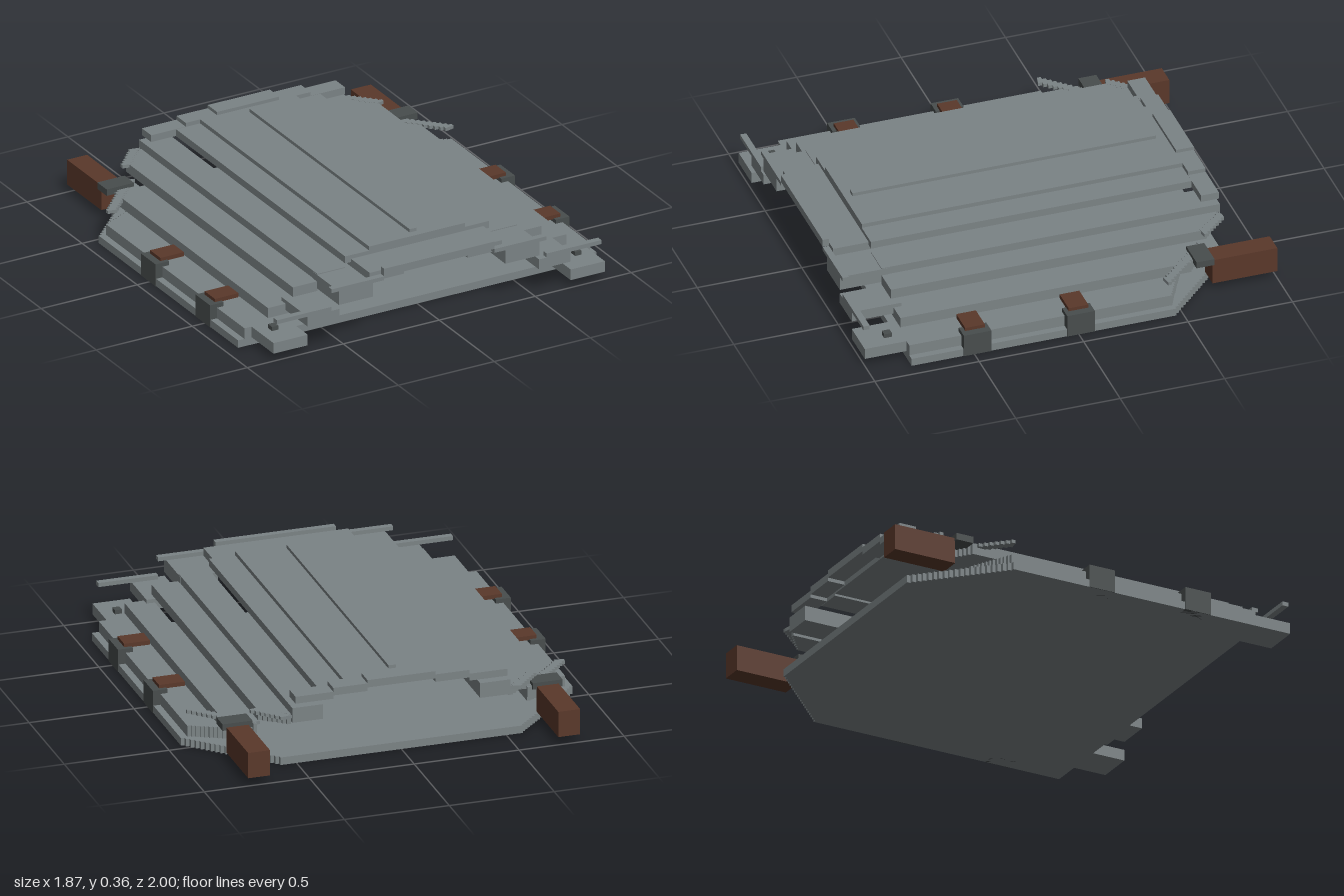
import * as THREE from 'three';

const steel = new THREE.MeshStandardMaterial({ color: 0x7b8385 }); steel.name = 'grey steel';
const iron = new THREE.MeshStandardMaterial({ color: 0x484d4d }); iron.name = 'dark iron';
const leather = new THREE.MeshStandardMaterial({ color: 0x5a382a }); leather.name = 'brown leather';

const STEP = 0.0176;

export function createModel() {
  const model = new THREE.Group();

  const add = (name, geometry, material) => {
    const mesh = new THREE.Mesh(geometry, material);
    mesh.name = name;
    model.add(mesh);
  };
  // box given by its limits
  const box = (name, mat, x0, x1, y0, y1, z0, z1) => {
    const g = new THREE.BoxGeometry(x1 - x0, y1 - y0, z1 - z0);
    g.translate((x0 + x1) / 2, (y0 + y1) / 2, (z0 + z1) / 2);
    add(name, g, mat);
  };
  const pair = (name, mat, x0, x1, ...rest) => {
    box(name + 'Left', mat, x0, x1, ...rest);
    box(name + 'Right', mat, -x1, -x0, ...rest);
  };
  // flat plate from [x, z] points
  const plate = (name, points, y0, y1) => {
    const shape = new THREE.Shape(points.map(([x, z]) => new THREE.Vector2(x, -z)));
    const g = new THREE.ExtrudeGeometry(shape, { depth: y1 - y0, bevelEnabled: false });
    g.rotateX(-Math.PI / 2);
    g.translate(0, y0, 0);
    add(name, g, steel);
  };
  const platePair = (name, points, y0, y1) => {
    plate(name + 'Left', points, y0, y1);
    plate(name + 'Right', points.map(([x, z]) => [-x, z]), y0, y1);
  };
  // staircase from one point to another, going along z first
  const stairs = (x0, z0, x1, z1) => {
    const n = Math.max(1, Math.round(Math.abs(x1 - x0) / STEP));
    const pts = [[x0, z0]];
    for (let i = 1; i <= n; i++) {
      const z = z0 + (z1 - z0) * i / n;
      pts.push([x0 + (x1 - x0) * (i - 1) / n, z], [x0 + (x1 - x0) * i / n, z]);
    }
    return pts;
  };

  // back plate with stepped shoulder corners
  const side = [[0.933, 0.8], ...stairs(0.933, -0.45, 0.56, -0.82)];
  plate('backPlate', [...side, ...side.map(([x, z]) => [-x, z]).reverse()], 0, 0.037);

  // long slats, rising in steps to the middle
  const slat = (name, x0, x1, y0, y1, zOuter, zInner) =>
    platePair(name, [[x0, 0.8], [x1, 0.8], ...stairs(x1, zOuter, x0, zInner)], y0, y1);
  slat('outerSlat', 0.685, 0.9, 0.037, 0.09, -0.45, -0.56);
  slat('lowerSlat', 0.645, 0.777, 0.112, 0.162, -0.58, -0.69);
  slat('middleSlat', 0.52, 0.648, 0.187, 0.235, -0.7, -0.8);
  pair('upperSlat', steel, 0.375, 0.52, 0.2, 0.272, -0.82, 0.8);
  pair('innerSlat', steel, 0.25, 0.375, 0.29, 0.325, -0.735, 0.8);
  box('centreSlat', steel, -0.25, 0.25, 0.3, 0.345, -0.735, 0.8);
  box('centreRidge', steel, -0.018, 0.018, 0.345, 0.361, -0.69, 0.763);

  // waist plates at the front end
  pair('waistOuter', steel, 0.685, 0.863, 0.037, 0.09, 0.8, 1);
  pair('waistLower', steel, 0.52, 0.685, 0.13, 0.18, 0.763, 1);
  pair('waistUpper', steel, 0.345, 0.522, 0.2, 0.268, 0.763, 1);
  pair('waistInner', steel, 0.165, 0.345, 0.26, 0.306, 0.763, 0.97);
  box('waistCentre', steel, -0.17, 0.17, 0.288, 0.306, 0.763, 0.97);
  box('waistTrimCentre', steel, -0.287, 0.287, 0.288, 0.325, 0.97, 1);
  pair('waistTrimMiddle', steel, 0.287, 0.56, 0.268, 0.287, 0.97, 1);
  pair('waistTrimOuter', steel, 0.56, 0.845, 0.18, 0.2, 0.97, 1);
  pair('rivet', iron, 0.773, 0.806, 0.09, 0.11, 0.85, 0.887);

  // neck trim at the back end
  box('neckTrimCentre', steel, -0.162, 0.162, 0.325, 0.361, -0.82, -0.735);
  pair('neckTrimMiddle', steel, 0.162, 0.325, 0.308, 0.345, -0.82, -0.735);
  pair('neckTrimOuter', steel, 0.325, 0.505, 0.292, 0.326, -0.82, -0.735);

  // stepped shoulder rims
  const rim = (name, xa, za, xb, zb, w, y0, y1) => platePair(name,
    [...stairs(xa, za, xb, zb), ...stairs(xa - w, za + w * 0.2, xb - w, zb + w * 0.2).reverse()], y0, y1);
  rim('lowerRim', 0.9, -0.44, 0.67, -0.68, 0.045, 0.148, 0.164);
  rim('upperRim', 0.68, -0.69, 0.56, -0.82, 0.045, 0.22, 0.236);

  // side buckles and straps
  for (const [name, z] of [['front', 0.485], ['rear', -0.01]]) {
    pair(name + 'Buckle', iron, 0.865, 0.936, 0, 0.11, z - 0.066, z + 0.066);
    pair(name + 'SideStrap', leather, 0.777, 0.9, 0.106, 0.126, z - 0.047, z + 0.047);
  }

  // shoulder straps with clasps
  pair('shoulderClasp', iron, 0.668, 0.81, 0.148, 0.18, -0.693, -0.607);
  pair('shoulderStrap', leather, 0.687, 0.791, 0.038, 0.162, -1, -0.69);

  return model;
}
